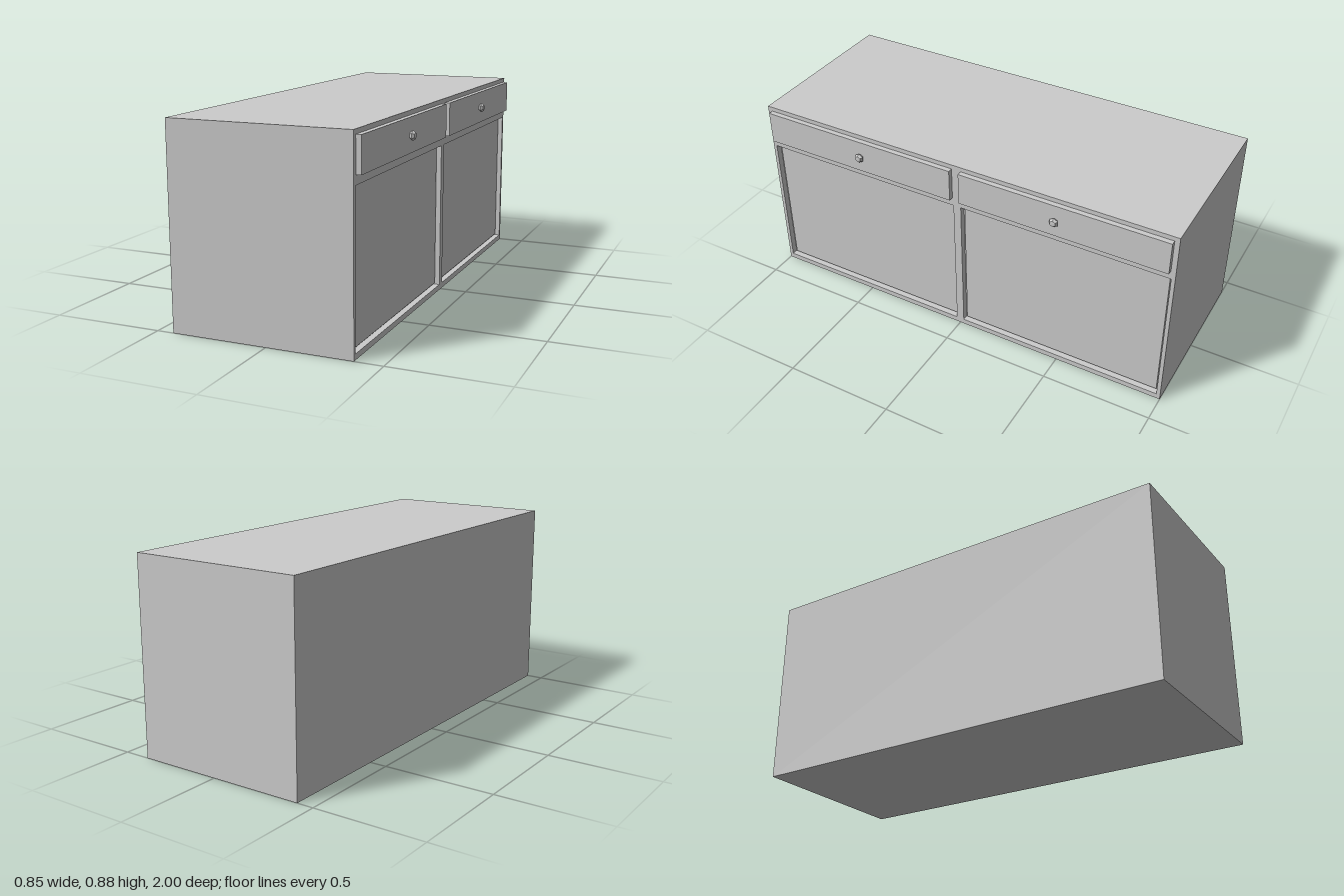
import * as THREE from 'three';

const grey = new THREE.MeshStandardMaterial({ color: 0xcccccc, flatShading: true });

export function createModel() {
  const group = new THREE.Group();
  const add = (name, geometry) => {
    const mesh = new THREE.Mesh(geometry, grey);
    mesh.name = name;
    group.add(mesh);
    return mesh;
  };
  // Box given by its extents on each axis
  const box = (name, x0, x1, y0, y1, z0, z1) =>
    add(name, new THREE.BoxGeometry(x1 - x0, y1 - y0, z1 - z0)
      .translate((x0 + x1) / 2, (y0 + y1) / 2, (z0 + z1) / 2));
  const rect = (path, u0, u1, v0, v1) => {
    path.moveTo(u0, v0);
    path.lineTo(u1, v0);
    path.lineTo(u1, v1);
    path.lineTo(u0, v1);
    path.closePath();
    return path;
  };

  const back = -0.425, floor = 0.35, face = 0.378, drawerFace = 0.401, height = 0.885;

  // Cabinet body, closed by a face frame with two door openings
  box('cabinetBody', back, floor, 0, height, -1, 1);
  const frame = rect(new THREE.Shape(), -1, 1, 0, height);
  frame.holes.push(rect(new THREE.Path(), 0.018, 0.983, 0.025, 0.675));
  frame.holes.push(rect(new THREE.Path(), -0.983, -0.018, 0.025, 0.675));
  add('faceFrame', new THREE.ExtrudeGeometry(frame, { depth: face - floor, bevelEnabled: false })
    .rotateY(Math.PI / 2).translate(floor, 0, 0));

  // Six-sided knob, turned around the x axis
  const knobProfile = [[0, 0], [0.014, 0.001], [0.022, 0.012], [0.014, 0.023], [0, 0.024]]
    .map(([r, h]) => new THREE.Vector2(r, h));
  const knob = new THREE.LatheGeometry(knobProfile, 6).rotateY(Math.PI / 2).rotateZ(-Math.PI / 2);

  // Each bay: recessed door panel, drawer front and knob
  for (const [side, s] of [['front', 1], ['back', -1]]) {
    const span = (a, b) => (s > 0 ? [a, b] : [-b, -a]);
    box(side + 'DoorPanel', floor - 0.01, floor + 0.008, 0.033, 0.667, ...span(0.026, 0.973));
    box(side + 'Drawer', floor, drawerFace, 0.715, 0.865, ...span(0.022, 0.978));
    add(side + 'Knob', knob).position.set(drawerFace, 0.79, s * 0.478);
  }
  return group;
}
